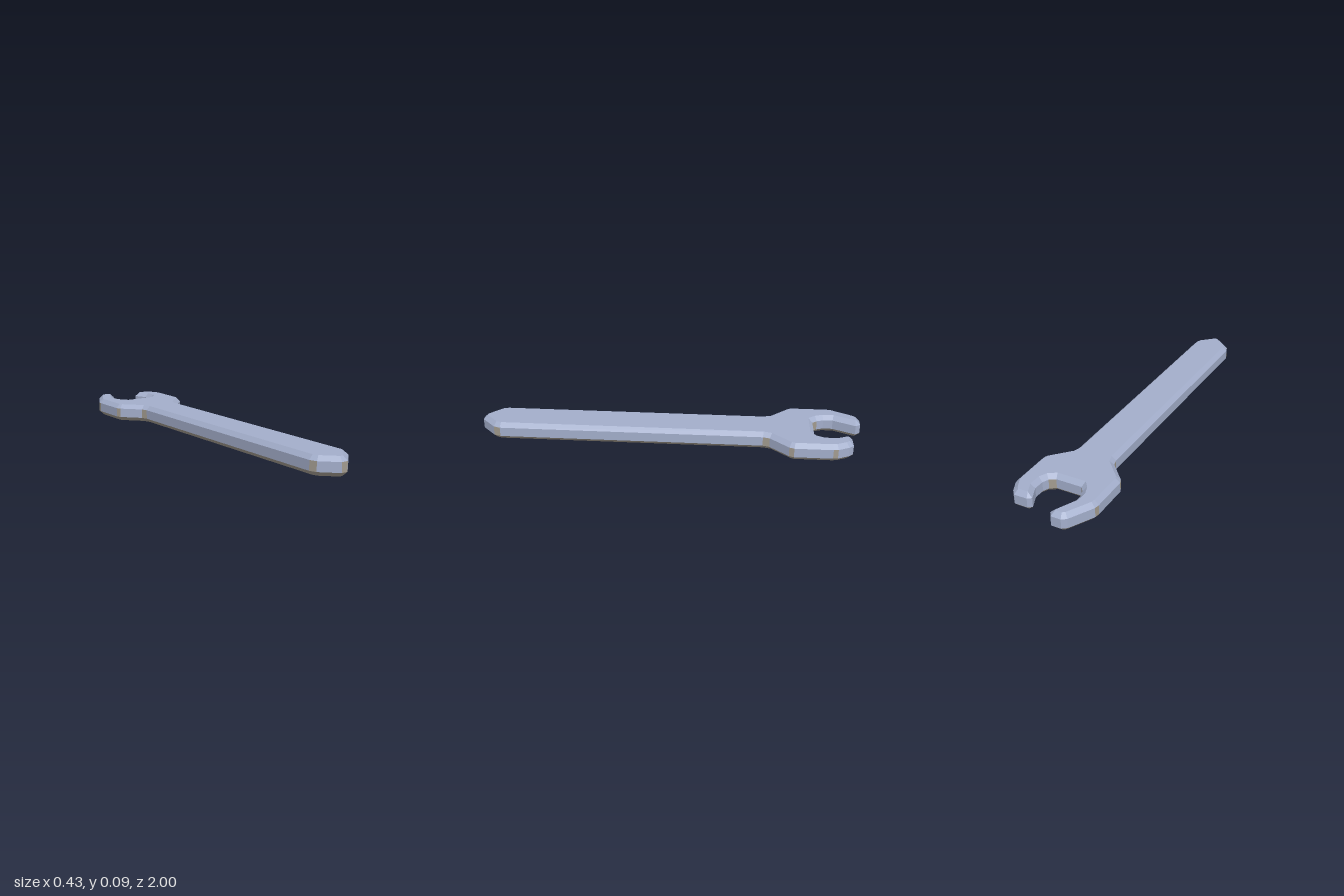
import * as THREE from 'three';

const STEEL = 0, TRIM = 1;
const BEVEL = 0.022, HEIGHT = 0.093;

// Outline [x, z], counter-clockwise from above; a third entry of 1 marks
// the edge that starts there as a trim-coloured corner.
const outline = [
  [0.017, 1], [0.095, 0.925, 1], [0.107, 0.89], [0.107, -0.485, 1], [0.117, -0.52],
  [0.205, -0.615, 1], [0.215, -0.64], [0.215, -0.835, 1], [0.211, -0.86],
  [0.185, -0.915], [0.163, -0.94], [0.095, -0.94], [0.075, -0.925],
  [0.106, -0.855], [0.104, -0.8], [0.09, -0.77, 1], [0.06, -0.75],
  [-0.075, -0.75, 1], [-0.095, -0.775], [-0.108, -0.81], [-0.108, -0.86],
  [-0.053, -0.975], [-0.07, -1], [-0.122, -1], [-0.145, -0.983],
  [-0.211, -0.86, 1], [-0.215, -0.835], [-0.215, -0.64, 1], [-0.205, -0.615],
  [-0.117, -0.52, 1], [-0.107, -0.485], [-0.107, 0.89, 1], [-0.095, 0.925], [-0.017, 1, 1],
];

// Mitred inset of a closed counter-clockwise contour
function inset(points, d) {
  const n = points.length;
  return points.map((p, i) => {
    const a = p.clone().sub(points[(i + n - 1) % n]).normalize();
    const b = points[(i + 1) % n].clone().sub(p).normalize();
    const na = new THREE.Vector2(-a.y, a.x), nb = new THREE.Vector2(-b.y, b.x);
    const m = na.clone().add(nb);
    return p.clone().addScaledVector(m, d / (1 + na.dot(nb)));
  });
}

function bodyGeometry() {
  const outer = outline.map(([x, z]) => new THREE.Vector2(x, -z));
  const inner = inset(outer, BEVEL);
  const rings = [[inner, 0], [outer, BEVEL], [outer, HEIGHT - BEVEL], [inner, HEIGHT]];
  const faces = [[], []];
  const at = (r, i) => [rings[r][0][i].x, rings[r][1], -rings[r][0][i].y];
  const n = outer.length;

  // Lower bevel, wall and upper bevel
  for (let r = 0; r < 3; r++) {
    for (let i = 0; i < n; i++) {
      const j = (i + 1) % n;
      const colour = r === 0 || (r === 1 && outline[i][2]) ? TRIM : STEEL;
      const a = at(r, i), b = at(r, j), c = at(r + 1, j), d = at(r + 1, i);
      faces[colour].push(...a, ...b, ...c, ...a, ...c, ...d);
    }
  }
  // Flat top and underside
  for (const [a, b, c] of THREE.ShapeUtils.triangulateShape(inner, [])) {
    faces[STEEL].push(...at(3, a), ...at(3, b), ...at(3, c));
    faces[STEEL].push(...at(0, c), ...at(0, b), ...at(0, a));
  }

  const geometry = new THREE.BufferGeometry();
  geometry.setAttribute('position', new THREE.Float32BufferAttribute(faces.flat(), 3));
  geometry.addGroup(0, faces[STEEL].length / 3, STEEL);
  geometry.addGroup(faces[STEEL].length / 3, faces[TRIM].length / 3, TRIM);
  geometry.computeVertexNormals();
  return geometry;
}

export function createModel() {
  const steel = new THREE.MeshStandardMaterial({ color: 0xa3aecb });
  steel.name = 'blue steel';
  const trim = new THREE.MeshStandardMaterial({ color: 0xa39c90 });
  trim.name = 'warm grey trim';

  const group = new THREE.Group();
  group.name = 'wrench';

  const body = new THREE.Mesh(bodyGeometry(), [steel, trim]);
  body.name = 'wrenchBody';
  group.add(body);

  // Thin stripes on the underside
  const stripe = (name, width, length, z) => {
    const mesh = new THREE.Mesh(new THREE.BoxGeometry(width, 0.002, length), trim);
    mesh.name = name;
    mesh.position.set(0, 0, z);
    group.add(mesh);
  };
  stripe('undersideLongStripe', 0.025, 1.69, 0.125);
  stripe('undersideCrossStripe', 0.17, 0.025, -0.5);

  return group;
}
